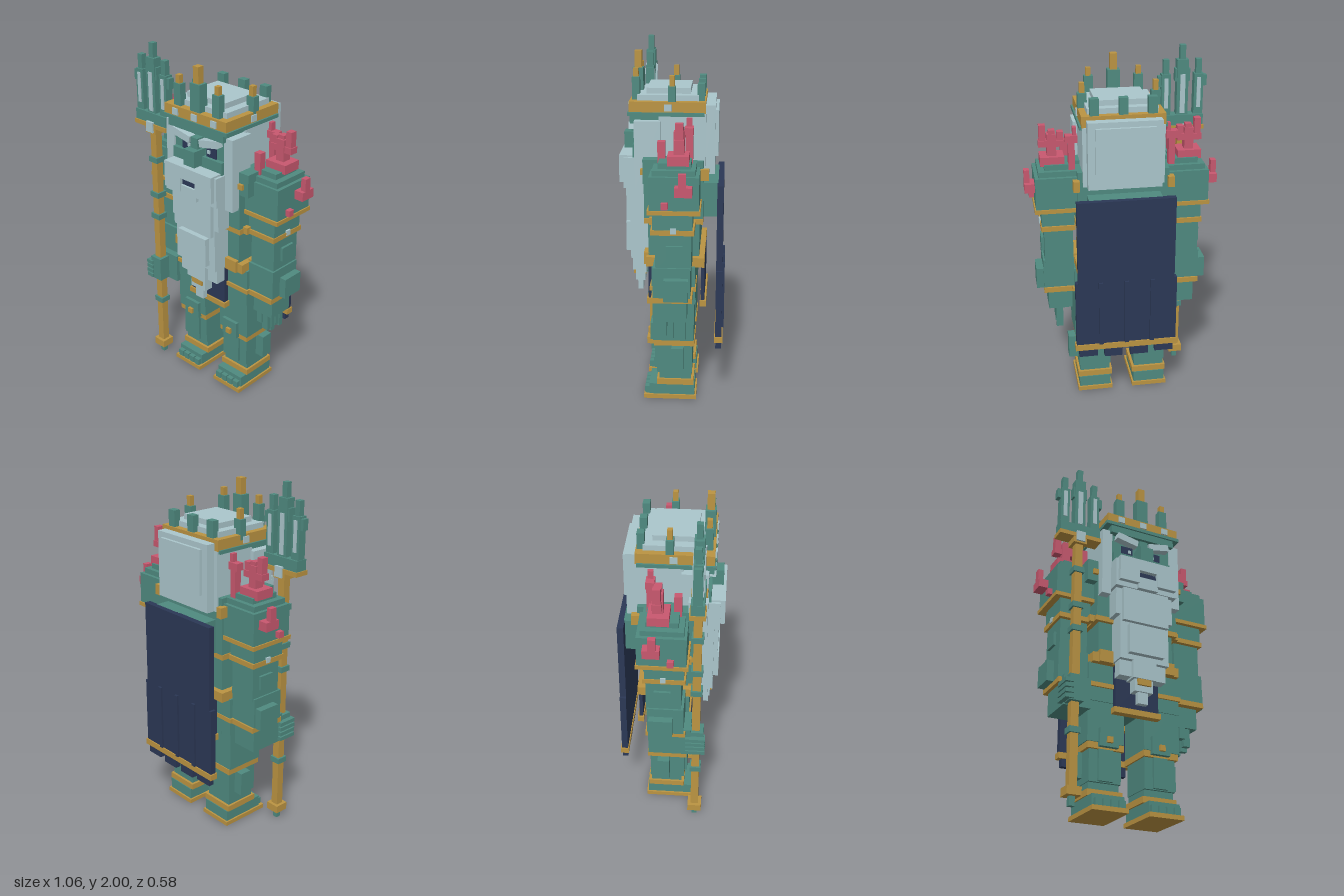
import * as THREE from 'three';

const mat = (name, color) => {
  const m = new THREE.MeshStandardMaterial({ color });
  m.name = name;
  return m;
};

export function createModel() {
  const root = new THREE.Group();
  root.name = 'seaKing';
  const teal = mat('sea teal', 0x4f8a80), gold = mat('old gold', 0xbb9442), pale = mat('pale foam', 0xabc6cc),
    navy = mat('deep navy', 0x2b3856), coral = mat('coral pink', 0xc8586f);
  let part = root;
  const group = (name) => {
    part = new THREE.Group();
    part.name = name;
    root.add(part);
  };
  // box given by its low and high limits on x, y and z
  const box = (name, m, x0, x1, y0, y1, z0, z1) => {
    const b = new THREE.Mesh(new THREE.BoxGeometry(x1 - x0, y1 - y0, z1 - z0), m);
    b.position.set((x0 + x1) / 2, (y0 + y1) / 2, (z0 + z1) / 2);
    b.name = name;
    part.add(b);
    return b;
  };
  // the same box on both sides
  const pair = (name, m, x0, x1, y0, y1, z0, z1) => {
    box(name + 'Left', m, x0, x1, y0, y1, z0, z1);
    box(name + 'Right', m, -x1, -x0, y0, y1, z0, z1);
  };

  group('legs');
  pair('sole', gold, 0.06, 0.265, 0, 0.025, -0.14, 0.16);
  pair('foot', teal, 0.07, 0.255, 0.025, 0.09, -0.13, 0.13);
  for (let i = 0; i < 4; i++) {
    const x = 0.075 + i * 0.045;
    pair('toe', teal, x, x + 0.036, 0.025, 0.065, 0.12, 0.155);
  }
  pair('ankleBand', gold, 0.06, 0.262, 0.09, 0.125, -0.125, 0.085);
  pair('ankle', teal, 0.075, 0.25, 0.125, 0.165, -0.11, 0.07);
  pair('shin', teal, 0.07, 0.255, 0.165, 0.35, -0.115, 0.085);
  pair('shinPlate', teal, 0.12, 0.205, 0.17, 0.34, 0.08, 0.1);
  pair('shinFin', teal, 0.25, 0.31, 0.2, 0.34, -0.07, 0);
  pair('kneeBand', gold, 0.06, 0.27, 0.34, 0.375, -0.13, 0.1);
  pair('kneePlate', teal, 0.1, 0.21, 0.35, 0.45, 0.08, 0.125);
  pair('kneeStud', gold, 0.14, 0.172, 0.37, 0.402, 0.12, 0.14);
  pair('thigh', teal, 0.06, 0.275, 0.375, 0.68, -0.125, 0.105);
  pair('thighBand', gold, 0.1, 0.285, 0.68, 0.705, -0.135, 0.12);
  pair('hip', teal, 0.03, 0.275, 0.6, 0.82, -0.13, 0.11);

  group('skirt');
  box('pelvis', teal, -0.2, 0.2, 0.58, 0.84, -0.13, 0.1);
  box('frontApron', navy, -0.13, 0.13, 0.56, 0.84, 0.11, 0.14);
  box('frontApronTrim', gold, -0.14, 0.14, 0.54, 0.572, 0.105, 0.15);
  box('rearApron', navy, -0.2, 0.2, 0.59, 0.84, -0.18, -0.16);
  box('rearApronTrim', gold, -0.21, 0.21, 0.56, 0.595, -0.19, -0.155);
  box('belt', gold, -0.265, 0.265, 0.815, 0.87, -0.18, 0.14);
  pair('beltBlock', gold, 0.15, 0.23, 0.815, 0.885, 0.1, 0.155);
  pair('beltHip', gold, 0.25, 0.315, 0.82, 0.88, -0.06, 0.07);

  group('torso');
  box('waist', teal, -0.23, 0.23, 0.86, 1.07, -0.15, 0.13);
  box('waistBand', gold, -0.255, 0.255, 1.06, 1.09, -0.17, 0.15);
  box('chest', teal, -0.25, 0.25, 1.09, 1.41, -0.17, 0.15);
  box('back', teal, -0.2, 0.2, 1.09, 1.28, -0.25, -0.16);
  pair('collarPlate', teal, 0.2, 0.31, 1.3, 1.43, -0.03, 0.15);
  pair('collarClasp', gold, 0.24, 0.275, 1.31, 1.37, -0.2, -0.15);
  pair('chestStud', gold, 0.25, 0.28, 1.34, 1.37, 0.13, 0.165);

  group('cape');
  box('capeUpper', navy, -0.27, 0.27, 0.78, 1.28, -0.28, -0.245);
  box('capeLower', navy, -0.285, 0.285, 0.4, 0.8, -0.28, -0.245);
  box('capeTrim', gold, -0.292, 0.292, 0.375, 0.41, -0.287, -0.24);
  for (const x of [-0.145, 0, 0.145]) box('capeFold', navy, x - 0.012, x + 0.012, 0.41, 0.8, -0.292, -0.275);
  pair('innerTatter', navy, 0.022, 0.125, 0.32, 0.38, -0.28, -0.247);
  pair('outerTatter', navy, 0.165, 0.27, 0.33, 0.38, -0.28, -0.247);

  group('arms');
  pair('shoulder', teal, 0.25, 0.475, 1.2, 1.38, -0.155, 0.105);
  pair('shoulderStep', teal, 0.25, 0.455, 1.38, 1.41, -0.135, 0.09);
  pair('shoulderCap', teal, 0.27, 0.42, 1.41, 1.44, -0.11, 0.06);
  pair('shoulderBand', gold, 0.245, 0.482, 1.18, 1.203, -0.162, 0.115);
  pair('upperArm', teal, 0.265, 0.445, 1.08, 1.19, -0.12, 0.09);
  pair('armBand', gold, 0.262, 0.45, 1.06, 1.088, -0.13, 0.1);
  pair('armStud', gold, 0.25, 0.28, 1.06, 1.1, 0.09, 0.12);
  pair('elbow', teal, 0.275, 0.435, 0.86, 1.065, -0.115, 0.075);
  pair('elbowPad', teal, 0.43, 0.45, 0.92, 1.0, -0.07, 0.02);
  pair('sideGem', pale, 0.435, 0.455, 1.07, 1.1, -0.035, -0.005);
  pair('forearm', teal, 0.272, 0.445, 0.7, 0.875, -0.11, 0.09);
  pair('forearmFin', teal, 0.44, 0.485, 0.7, 0.82, -0.1, 0.03);
  pair('wristBand', gold, 0.265, 0.445, 0.675, 0.705, -0.12, 0.1);
  box('leftHand', teal, 0.285, 0.42, 0.555, 0.68, -0.09, 0.06);
  for (let i = 0; i < 4; i++) {
    const z = -0.085 + i * 0.035;
    box('leftFinger', teal, 0.34, 0.38, 0.43 + (i % 2) * 0.02, 0.56, z, z + 0.028);
  }
  box('leftThumb', teal, 0.31, 0.345, 0.49, 0.56, 0.02, 0.06);
  box('leftRing', gold, 0.285, 0.31, 0.52, 0.555, -0.02, 0.02);
  box('rightHand', teal, -0.425, -0.27, 0.54, 0.71, -0.09, 0.13);
  box('rightGrip', teal, -0.42, -0.34, 0.545, 0.69, 0.12, 0.2);
  for (let i = 0; i < 4; i++) box('rightFinger', teal, -0.447, -0.4, 0.55 + i * 0.03, 0.572 + i * 0.03, 0.1, 0.21);

  group('coralGrowth');
  pair('coralBase', coral, 0.31, 0.44, 1.43, 1.48, -0.1, 0.012);
  pair('coralTrunk', coral, 0.35, 0.4, 1.47, 1.6, -0.075, -0.02);
  pair('coralFork', coral, 0.31, 0.445, 1.53, 1.565, -0.075, -0.025);
  pair('coralTipOuter', coral, 0.405, 0.44, 1.56, 1.65, -0.07, -0.03);
  pair('coralTipMid', coral, 0.355, 0.39, 1.59, 1.62, -0.07, -0.03);
  pair('coralTipInner', coral, 0.31, 0.345, 1.56, 1.61, -0.07, -0.03);
  pair('coralInnerStem', coral, 0.255, 0.29, 1.41, 1.58, -0.115, -0.075);
  pair('coralInnerFork', coral, 0.24, 0.305, 1.56, 1.6, -0.118, -0.072);
  pair('coralInnerTip', coral, 0.245, 0.265, 1.6, 1.645, -0.11, -0.08);
  pair('coralFrontStub', coral, 0.28, 0.32, 1.41, 1.53, 0.03, 0.07);
  pair('coralSide', coral, 0.47, 0.53, 1.29, 1.34, -0.12, -0.03);
  pair('coralSideTip', coral, 0.5, 0.53, 1.33, 1.41, -0.09, -0.05);
  pair('coralBud', coral, 0.465, 0.502, 1.215, 1.25, 0.005, 0.04);

  group('head');
  box('skull', teal, -0.19, 0.19, 1.38, 1.67, -0.17, 0.19);
  box('cheeks', teal, -0.18, 0.18, 1.4, 1.48, 0.17, 0.215);
  box('forehead', teal, -0.2, 0.2, 1.6, 1.665, -0.16, 0.225);
  box('nose', teal, -0.04, 0.04, 1.43, 1.52, 0.18, 0.275);
  box('noseBridge', teal, -0.025, 0.025, 1.51, 1.58, 0.18, 0.235);
  pair('eye', navy, 0.055, 0.125, 1.48, 1.54, 0.185, 0.197);
  pair('eyeGlint', pale, 0.065, 0.083, 1.5, 1.52, 0.195, 0.202);
  for (const s of [1, -1]) {
    const brow = box('brow', pale, s * 0.1 - 0.065, s * 0.1 + 0.065, 1.55, 1.59, 0.18, 0.235);
    brow.rotation.z = -s * -0.2;
  }
  pair('sideHair', pale, 0.185, 0.245, 1.24, 1.62, 0.06, 0.2);
  pair('sideHairRear', pale, 0.18, 0.222, 1.33, 1.66, -0.18, 0.07);
  pair('sideHairLock', pale, 0.19, 0.245, 1.21, 1.3, 0.12, 0.2);
  box('backHair', pale, -0.2, 0.2, 1.33, 1.7, -0.23, -0.16);
  box('backHairPanel', pale, -0.16, 0.16, 1.42, 1.67, -0.247, -0.22);
  box('hairTop', pale, -0.19, 0.19, 1.69, 1.75, -0.14, 0.185);
  box('hairCrest', pale, -0.14, 0.14, 1.75, 1.78, -0.095, 0.14);

  group('beard');
  box('beardUpper', pale, -0.19, 0.19, 1.24, 1.41, 0.13, 0.265);
  pair('moustache', pale, 0.055, 0.175, 1.27, 1.42, 0.2, 0.29);
  box('moustacheBridge', pale, -0.06, 0.06, 1.35, 1.42, 0.2, 0.29);
  box('chin', pale, -0.06, 0.06, 1.24, 1.31, 0.2, 0.285);
  box('mouth', navy, -0.058, 0.058, 1.31, 1.345, 0.26, 0.272);
  box('beardMiddle', pale, -0.175, 0.175, 1.08, 1.25, 0.12, 0.235);
  box('beardMiddlePanel', pale, -0.14, 0.14, 1.04, 1.25, 0.2, 0.258);
  box('beardLower', pale, -0.148, 0.148, 0.82, 1.09, 0.13, 0.235);
  box('beardLowerPanel', pale, -0.105, 0.105, 0.85, 1.02, 0.2, 0.265);
  box('beardTip', pale, -0.07, 0.07, 0.72, 0.83, 0.15, 0.235);
  pair('beardLock', pale, 0.07, 0.14, 0.73, 0.83, 0.15, 0.21);
  box('beardTail', pale, -0.055, 0.055, 0.65, 0.72, 0.165, 0.22);
  box('beardEnd', pale, -0.03, 0.03, 0.585, 0.66, 0.18, 0.21);
  box('beardBead', gold, -0.04, 0.04, 0.685, 0.725, 0.16, 0.232);

  group('crown');
  box('crownBand', gold, -0.225, 0.225, 1.66, 1.72, -0.178, 0.228);
  box('crownRim', teal, -0.235, 0.235, 1.645, 1.665, -0.17, 0.235);
  // spikes: x, z, half width, teal top, gold top
  for (const [x, z, w, top, tip] of [
    [0, 0.195, 0.035, 1.87, 1.96], [0.14, 0.195, 0.025, 1.84, 1.885], [-0.14, 0.195, 0.025, 1.84, 1.885],
    [0.2, 0, 0.025, 1.8, 1.855], [-0.2, 0, 0.025, 1.8, 1.855],
    [0.155, -0.152, 0.024, 1.81, 0], [0, -0.152, 0.024, 1.81, 0], [-0.155, -0.152, 0.024, 1.81, 0],
  ]) {
    box('crownSpike', teal, x - w, x + w, 1.69, top, z - w * 0.8, z + w * 0.8);
    if (tip) box('crownSpikeTip', gold, x - w * 0.55, x + w * 0.55, top, tip, z - w * 0.55, z + w * 0.55);
  }
  for (const x of [-0.14, 0, 0.14]) box('crownGem', pale, x - 0.02, x + 0.02, 1.672, 1.708, 0.22, 0.236);
  pair('crownSideGem', pale, 0.22, 0.232, 1.672, 1.708, 0, 0.04);

  group('trident');
  const cx = -0.38, cz = 0.157;
  const centred = (name, m, w, y0, y1, d = w, x = cx) => box(name, m, x - w, x + w, y0, y1, cz - d, cz + d);
  centred('shaftTip', teal, 0.015, 0, 0.055);
  centred('shaftFoot', gold, 0.04, 0.05, 0.095);
  centred('shaft', gold, 0.022, 0.09, 1.53);
  for (const y of [0.375, 0.95, 1.09, 1.31]) centred('shaftCollar', teal, 0.032, y, y + 0.032);
  centred('neck', gold, 0.04, 1.49, 1.53);
  centred('crossbar', gold, 0.125, 1.525, 1.55, 0.042);
  centred('neckGem', pale, 0.026, 1.5, 1.56, 0.05);
  centred('prongBase', teal, 0.12, 1.55, 1.61, 0.035);
  centred('middleProng', teal, 0.032, 1.6, 1.92, 0.026);
  centred('middleBarb', teal, 0.042, 1.8, 1.87, 0.02);
  centred('middlePoint', teal, 0.016, 1.92, 2);
  centred('middleInlay', pale, 0.014, 1.62, 1.84, 0.031);
  for (const s of [-1, 1]) {
    const x = cx + s * 0.092;
    centred('sideProng', teal, 0.026, 1.6, 1.84, 0.024, x);
    centred('sidePoint', teal, 0.016, 1.84, 1.92, 0.016, x);
    centred('sideBarb', teal, 0.016, 1.77, 1.83, 0.018, x + s * 0.03);
    centred('sideInlay', pale, 0.011, 1.65, 1.82, 0.029, x);
  }
  return root;
}
